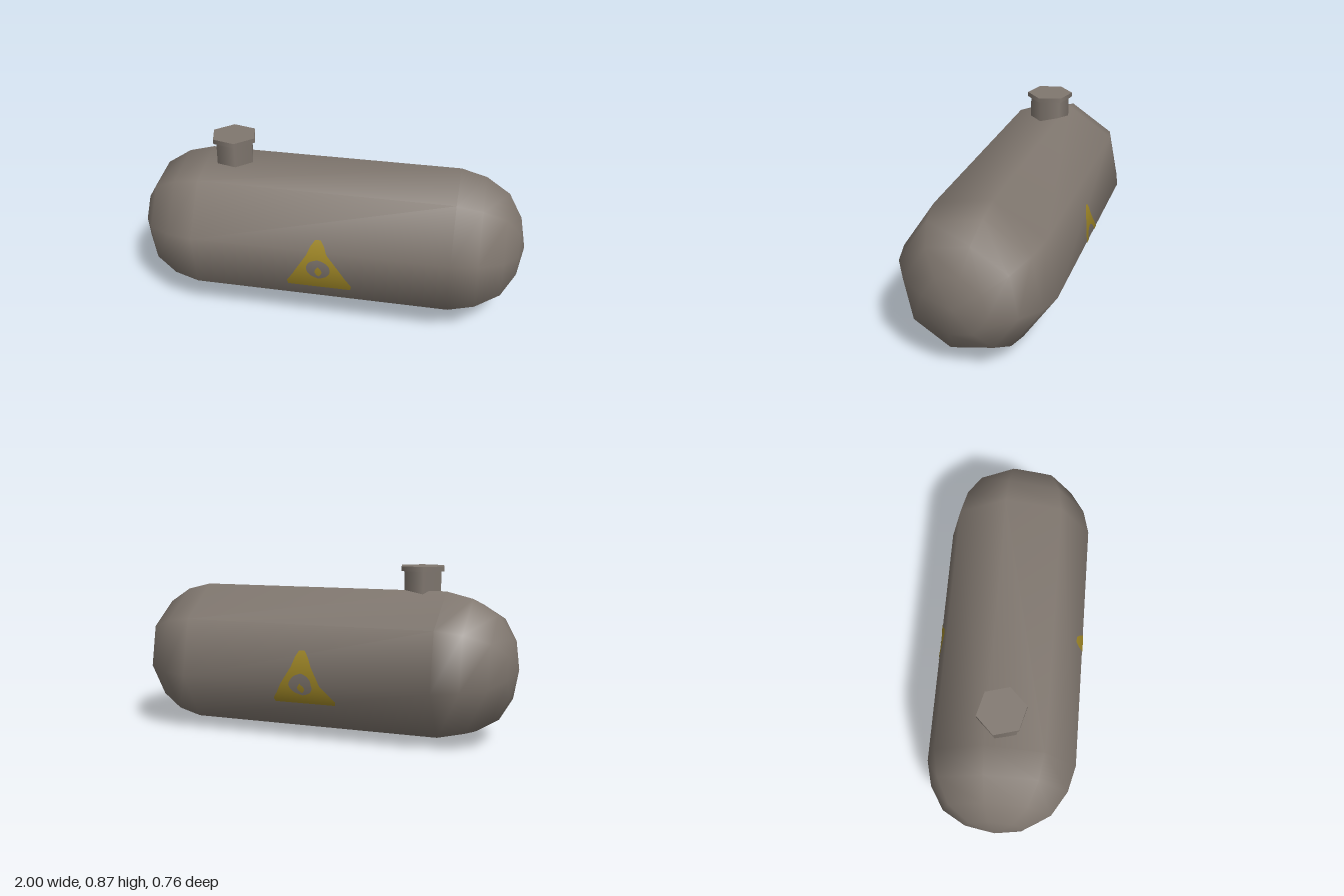
import * as THREE from 'three';
import { mergeVertices } from 'three/addons/utils/BufferGeometryUtils.js';

const R = 0.385, CY = 0.38;          // tank radius and axis height
const TURN = Math.PI / 16;           // twist of the octagonal section

const metal = new THREE.MeshStandardMaterial({ color: 0x80776f });
metal.name = 'grey metal';
const yellow = new THREE.MeshStandardMaterial({ color: 0xa38a28 });
yellow.name = 'warning yellow';

function add(parent, name, geometry, material) {
  const mesh = new THREE.Mesh(geometry, material);
  mesh.name = name;
  parent.add(mesh);
  return mesh;
}

// Eight-sided tank with domed ends, smooth shaded
function tankGeometry() {
  const half = [[0, 1], [0.155, 0.97], [0.276, 0.9], [0.352, 0.78], [R, 0.65]];
  const points = [
    ...half.map(([r, x]) => new THREE.Vector2(r, -x)),
    ...half.slice().reverse().map(([r, x]) => new THREE.Vector2(r, x)),
  ];
  let g = new THREE.LatheGeometry(points, 8, -TURN);
  g.rotateZ(-Math.PI / 2);
  g.deleteAttribute('normal');
  g.deleteAttribute('uv');
  g = mergeVertices(g, 1e-4);
  g.computeVertexNormals();
  g.translate(0, CY, 0);
  return g;
}

// Half-width of the warning triangle at height h along the surface
const OUTLINE = [[0, 0.16], [0.024, 0.165], [0.07, 0.135], [0.15, 0.09], [0.216, 0.052], [0.264, 0.034], [0.296, 0.014]];
function outer(h) {
  for (let i = 1; i < OUTLINE.length; i++) {
    const [h0, w0] = OUTLINE[i - 1], [h1, w1] = OUTLINE[i];
    if (h <= h1 + 1e-9) return w0 + (w1 - w0) * (h - h0) / (h1 - h0);
  }
  return 0.014;
}
const hole = h => Math.sqrt(Math.max(0, 0.06 ** 2 - (h - 0.12) ** 2));
const flame = h => (h > 0.078 && h < 0.13 ? 0.018 * Math.sin(Math.PI * (h - 0.07) / 0.064) : 0);

// Thin sign folded over one long edge of the tank, built in horizontal strips
function signGeometry(side, crease) {
  const STEP = 0.008, ROWS = 37;
  const angle = side * TURN;                       // elevation of the folded edge
  const corner = a => [R * Math.cos(a), R * Math.sin(a)];
  const edge = corner(angle);
  const up = corner(angle + Math.PI / 4), down = corner(angle - Math.PI / 4);
  const faceLength = Math.hypot(up[0] - edge[0], up[1] - edge[1]);
  const pos = [], nor = [];

  function put(x, h) {
    const s = h - crease, to = s > 0 ? up : down, t = Math.abs(s) / faceLength;
    const z = (edge[0] + (to[0] - edge[0]) * t) * 1.006 * side;
    const y = (edge[1] + (to[1] - edge[1]) * t) * 1.006;
    const len = Math.hypot(y, z);
    pos.push(x * side, CY + y, z);
    nor.push(0, y / len, z / len);
  }
  function strip(l0, r0, l1, r1, h0, h1) {
    put(l0, h0); put(r0, h0); put(r1, h1);
    put(l0, h0); put(r1, h1); put(l1, h1);
  }
  for (let i = 0; i < ROWS; i++) {
    const a = i * STEP, b = a + STEP;
    strip(hole(a), outer(a), hole(b), outer(b), a, b);
    strip(-outer(a), -hole(a), -outer(b), -hole(b), a, b);
    if (flame(a) || flame(b)) strip(-flame(a), flame(a), -flame(b), flame(b), a, b);
  }
  const g = new THREE.BufferGeometry();
  g.setAttribute('position', new THREE.Float32BufferAttribute(pos, 3));
  g.setAttribute('normal', new THREE.Float32BufferAttribute(nor, 3));
  return g;
}

export function createModel() {
  const model = new THREE.Group();
  model.name = 'storage tank';

  add(model, 'tankBody', tankGeometry(), metal);

  // Hexagonal filler neck and its wider lid
  const filler = new THREE.Group();
  filler.name = 'filler';
  filler.position.set(-0.51, 0, 0);
  model.add(filler);
  const hexTurn = THREE.MathUtils.degToRad(15.4);
  const neck = new THREE.CylinderGeometry(0.104, 0.104, 0.115, 6, 1, false, hexTurn);
  add(filler, 'fillerNeck', neck, metal).position.y = 0.7945;
  const lid = new THREE.CylinderGeometry(0.121, 0.121, 0.024, 6, 1, false, hexTurn);
  add(filler, 'fillerLid', lid, metal).position.y = 0.863;

  // Warning signs on both long sides
  add(model, 'frontSign', signGeometry(1, 0.232), yellow);
  add(model, 'backSign', signGeometry(-1, 0.128), yellow);
  return model;
}
